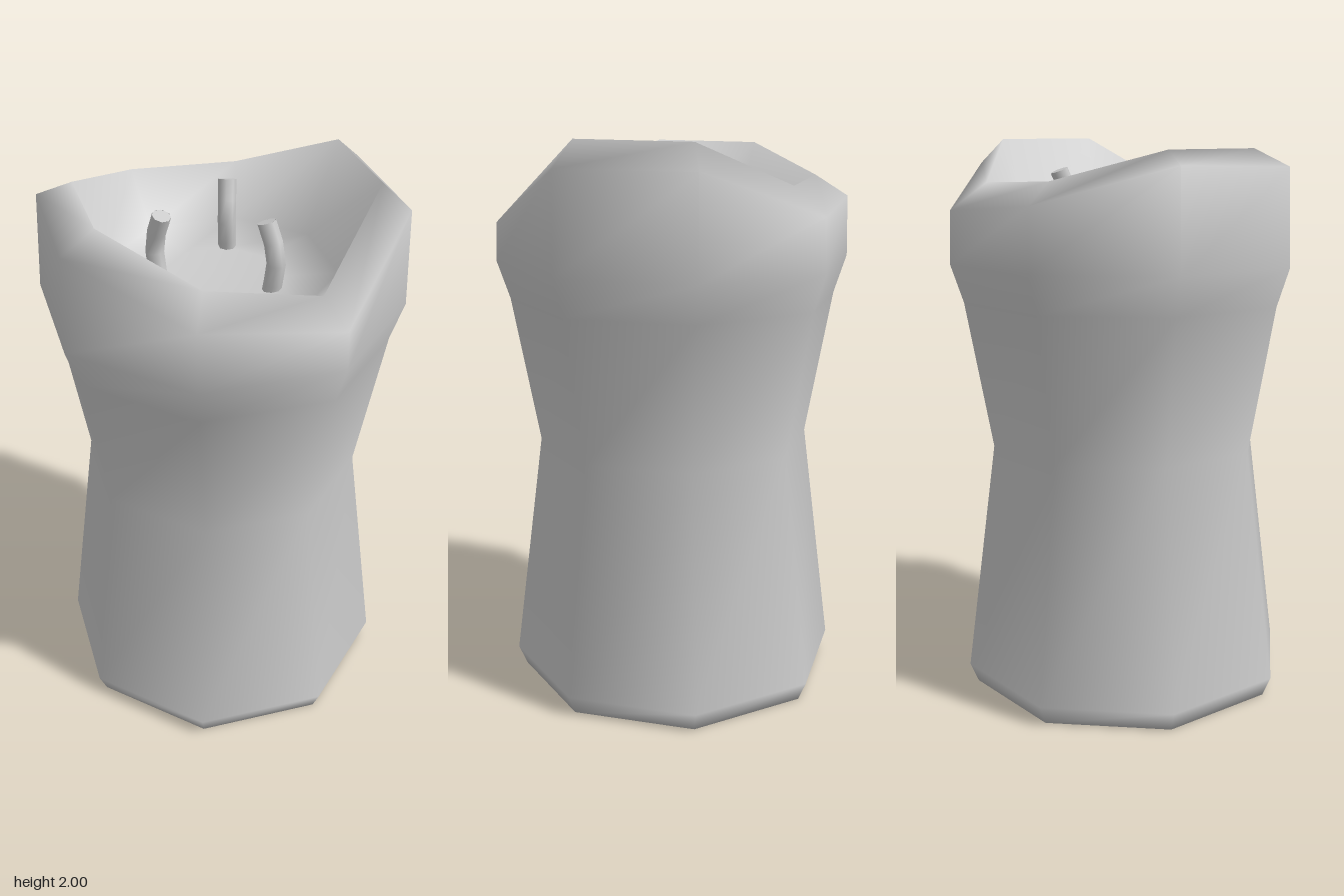
import * as THREE from 'three';

const SIDES = 8;
const material = new THREE.MeshStandardMaterial({ color: 0xcccccc, side: THREE.DoubleSide });

// Smooth skin over eight-sided rings, closed by a pole at each end
function loft(rings, startPole, endPole) {
  const points = [startPole, ...rings.flat(), endPole];
  const at = (ring, side) => 1 + ring * SIDES + (side % SIDES);
  const end = points.length - 1;
  const index = [];
  for (let s = 0; s < SIDES; s++) {
    index.push(0, at(0, s), at(0, s + 1));
    for (let r = 0; r < rings.length - 1; r++) {
      const a = at(r, s), b = at(r, s + 1), c = at(r + 1, s), d = at(r + 1, s + 1);
      index.push(a, c, b, b, c, d);
    }
    index.push(at(rings.length - 1, s), end, at(rings.length - 1, s + 1));
  }
  const geometry = new THREE.BufferGeometry().setFromPoints(points);
  geometry.setIndex(index);
  geometry.computeVertexNormals();
  return geometry;
}

// Ring whose radius and height are numbers or one value per corner, from +x towards +z
function ring(radius, height) {
  const pick = (value, i) => (Array.isArray(value) ? value[i] : value);
  return Array.from({ length: SIDES }, (_, i) => {
    const angle = (i / SIDES) * Math.PI * 2;
    const r = pick(radius, i);
    return new THREE.Vector3(r * Math.cos(angle), pick(height, i), r * Math.sin(angle));
  });
}

// Bent wick with a flat cut top
function makeWick(points) {
  const wick = new THREE.Group();
  wick.name = 'wick';
  const curve = new THREE.CatmullRomCurve3(points.map((p) => new THREE.Vector3(...p)));
  const stem = new THREE.Mesh(new THREE.TubeGeometry(curve, 4, 0.032, 8), material);
  stem.name = 'wickStem';
  const tip = new THREE.Mesh(new THREE.CircleGeometry(0.032, 8), material);
  tip.name = 'wickTip';
  tip.position.copy(curve.getPoint(1));
  tip.quaternion.setFromUnitVectors(new THREE.Vector3(0, 0, 1), curve.getTangent(1));
  wick.add(stem, tip);
  return wick;
}

export function createModel() {
  const model = new THREE.Group();
  model.name = 'candle';

  // Wax body: bevelled foot, narrow waist, uneven melted rim and shallow pool
  const rimInner = [2.0, 1.775, 1.84, 1.96, 1.955, 1.855, 1.845, 1.995];
  const rimOuter = [1.91, 1.7, 1.775, 1.9, 1.905, 1.78, 1.75, 1.91];
  const rings = [
    ring(0.575, 0),
    ring(0.605, 0.07),
    ring(0.495, 0.905),
    ring(0.59, 1.43),
    ring(0.635, 1.565),
    ring([0.625, 0.63, 0.637, 0.625, 0.62, 0.63, 0.63, 0.625], rimOuter),
    ring([0.525, 0.51, 0.49, 0.495, 0.495, 0.51, 0.5, 0.525], rimInner),
    ring(0.4, 1.67),
    ring(0.2, 1.645),
  ];
  const body = new THREE.Mesh(
    loft(rings, new THREE.Vector3(0, 0, 0), new THREE.Vector3(0, 1.64, 0)),
    material
  );
  body.name = 'waxBody';
  model.add(body);

  // Three wicks standing in the pool
  const wickPaths = [
    [[0, 1.6, -0.22], [0, 1.77, -0.2], [-0.003, 1.885, -0.243]],
    [[0.175, 1.6, 0.09], [0.195, 1.77, 0.105], [0.16, 1.885, 0.085]],
    [[-0.195, 1.6, 0.07], [-0.215, 1.77, 0.055], [-0.185, 1.885, 0.08]],
  ];
  for (const path of wickPaths) model.add(makeWick(path));

  return model;
}
